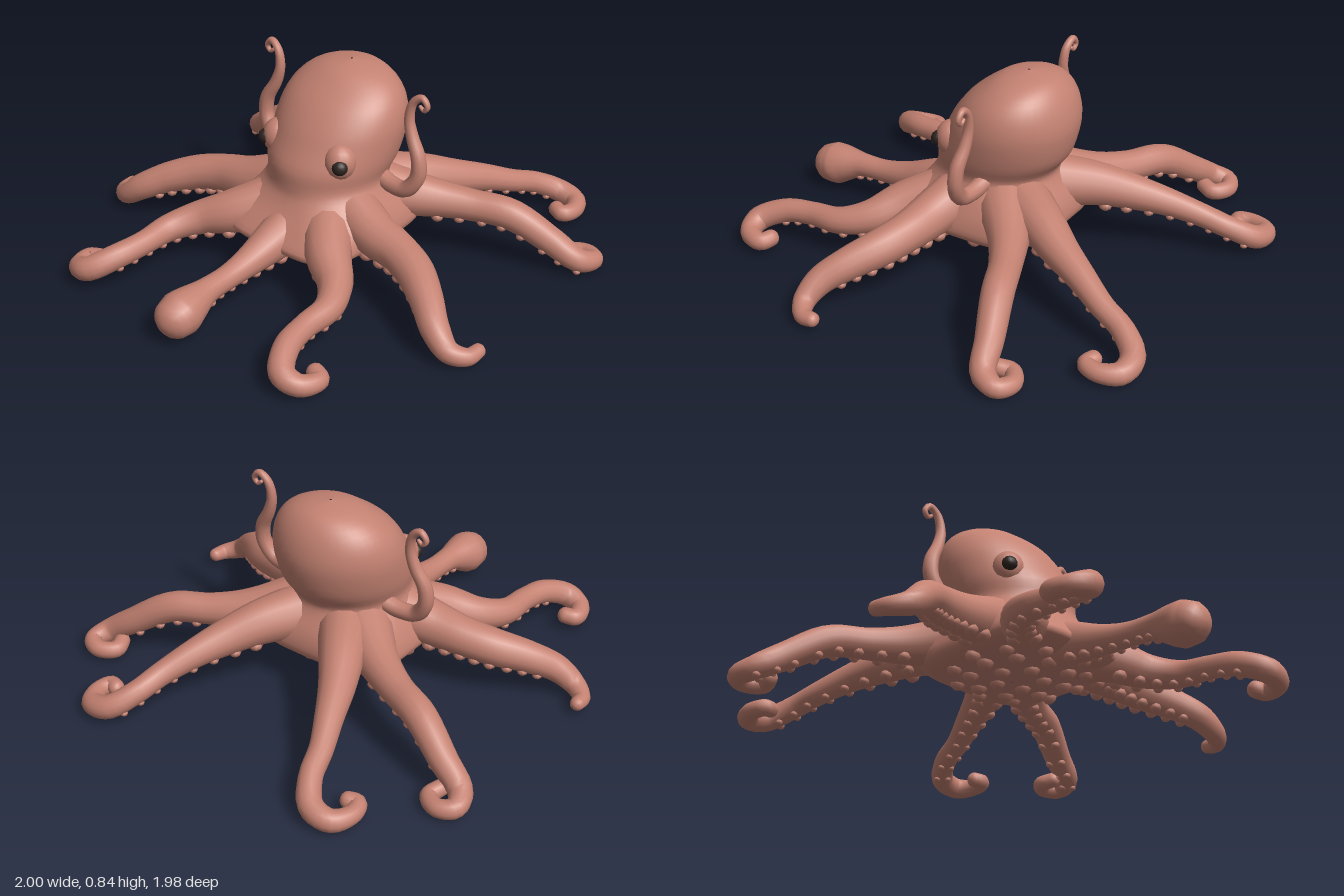
import * as THREE from 'three';
import { mergeGeometries } from 'three/addons/utils/BufferGeometryUtils.js';

const V = (x, y, z) => new THREE.Vector3(x, y, z);

// Skin a list of equal-length closed rings
function loft(rings) {
  const n = rings[0].length, index = [];
  for (let i = 0; i < rings.length - 1; i++) {
    for (let j = 0; j < n; j++) {
      const k = (j + 1) % n, a = i * n + j, b = i * n + k;
      index.push(a, a + n, b, b, a + n, b + n);
    }
  }
  const g = new THREE.BufferGeometry().setFromPoints(rings.flat());
  g.setIndex(index);
  g.computeVertexNormals();
  return g;
}

// Curve and tapering radius through points [x, y, z, radius]
function limbPath(pts, up) {
  const curve = new THREE.CatmullRomCurve3(pts.map(p => V(p[0], p[1], p[2])));
  const radii = new THREE.CatmullRomCurve3(pts.map(p => V(p[3], 0, 0)), false, 'catmullrom');
  return t => {
    const tangent = curve.getTangent(t);
    const side = tangent.clone().cross(up).normalize();
    return { p: curve.getPoint(t), r: radii.getPoint(t).x, tangent, side, top: side.clone().cross(tangent) };
  };
}

function limb(path, steps, sides) {
  const rings = [];
  const ring = (f, r, push) => {
    const loop = [];
    for (let j = 0; j < sides; j++) {
      const a = j / sides * Math.PI * 2;
      loop.push(f.p.clone().addScaledVector(f.tangent, push)
        .addScaledVector(f.side, Math.cos(a) * r).addScaledVector(f.top, Math.sin(a) * r));
    }
    rings.push(loop);
  };
  for (let i = 0; i <= steps; i++) { const f = path(i / steps); ring(f, f.r, 0); }
  // rounded tip
  const end = path(1);
  for (const a of [0.4, 0.8, 1.15, 1.4, 1.57]) ring(end, end.r * Math.cos(a), end.r * Math.sin(a) * 0.85);
  return loft(rings);
}

// Two rows of suckers along the underside of an arm
function suckers(path, from, to, count) {
  const list = [];
  for (let i = 0; i < count; i++) {
    const t = from + (to - from) * i / (count - 1), f = path(t);
    for (const s of [-1, 1]) {
      const size = f.r * 0.34;
      const c = f.p.clone().addScaledVector(f.top, -f.r * 0.82).addScaledVector(f.side, s * f.r * 0.45);
      list.push(new THREE.SphereGeometry(size, 8, 6).scale(1, 0.85, 1).translate(c.x, c.y, c.z));
    }
  }
  return mergeGeometries(list);
}

export function createModel() {
  const model = new THREE.Group();
  const skin = new THREE.MeshStandardMaterial({ name: 'terracotta skin', color: 0xc48272 });
  const dark = new THREE.MeshStandardMaterial({ name: 'dark eye', color: 0x2e2420 });
  const add = (name, geometry, material = skin) => {
    const mesh = new THREE.Mesh(geometry, material);
    mesh.name = name;
    model.add(mesh);
    return mesh;
  };

  // Mantle, head and web: half width, y, back z, front z
  const profile = [
    [0.004, 0.86, -0.135, -0.125], [0.11, 0.842, -0.23, -0.035], [0.195, 0.803, -0.28, 0.03],
    [0.252, 0.74, -0.315, 0.11], [0.277, 0.66, -0.333, 0.175], [0.277, 0.58, -0.325, 0.22],
    [0.267, 0.50, -0.30, 0.262], [0.25, 0.43, -0.25, 0.268], [0.268, 0.38, -0.26, 0.275],
    [0.3, 0.32, -0.295, 0.31], [0.325, 0.26, -0.315, 0.36], [0.33, 0.205, -0.31, 0.395],
    [0.28, 0.17, -0.25, 0.335], [0.13, 0.15, -0.11, 0.16], [0.004, 0.145, -0.004, 0.004],
  ];
  const widths = new THREE.CatmullRomCurve3(profile.map(p => V(p[0], p[1], p[2])), false, 'catmullrom');
  const fronts = new THREE.CatmullRomCurve3(profile.map(p => V(p[3], p[1], 0)), false, 'catmullrom');
  const bulge = (v, e) => Math.sign(v) * Math.abs(v) ** e;
  const rings = [];
  for (let i = 0; i <= 42; i++) {
    const w = widths.getPoint(i / 42), front = fronts.getPoint(i / 42).x, loop = [];
    // the web fills the corners between the arms
    const e = 0.5 + 0.5 * THREE.MathUtils.smoothstep(w.y, 0.26, 0.43);
    for (let j = 0; j < 40; j++) {
      const a = j / 40 * Math.PI * 2;
      loop.push(V(bulge(Math.cos(a), e) * w.x, w.y,
        (front + w.z) / 2 - bulge(Math.sin(a), e) * (front - w.z) / 2));
    }
    rings.push(loop);
  }
  add('body', loft(rings));

  // Arms on the +x side, each mirrored
  const arms = {
    frontSideArm: [[0.14, 0.28, 0.17, 0.11], [0.26, 0.23, 0.31, 0.095], [0.38, 0.19, 0.405, 0.072],
      [0.445, 0.165, 0.52, 0.058], [0.45, 0.155, 0.66, 0.05], [0.475, 0.14, 0.79, 0.052],
      [0.54, 0.1, 0.885, 0.052], [0.615, 0.075, 0.87, 0.044], [0.642, 0.07, 0.79, 0.038], [0.6, 0.075, 0.768, 0.036]],
    sideArm: [[0.18, 0.32, 0.08, 0.11], [0.34, 0.275, 0.12, 0.096], [0.48, 0.255, 0.14, 0.083],
      [0.6, 0.23, 0.18, 0.078], [0.72, 0.19, 0.255, 0.068], [0.82, 0.135, 0.325, 0.058],
      [0.9, 0.078, 0.342, 0.046], [0.96, 0.06, 0.3, 0.036], [0.97, 0.065, 0.245, 0.03]],
    backSideArm: [[0.16, 0.32, -0.12, 0.12], [0.33, 0.28, -0.25, 0.086], [0.48, 0.262, -0.335, 0.068],
      [0.64, 0.245, -0.405, 0.066], [0.8, 0.15, -0.475, 0.058], [0.91, 0.08, -0.52, 0.05],
      [0.935, 0.06, -0.595, 0.041], [0.875, 0.055, -0.627, 0.037], [0.812, 0.055, -0.585, 0.036], [0.828, 0.065, -0.53, 0.034]],
    backArm: [[0.1, 0.32, -0.16, 0.12], [0.205, 0.305, -0.33, 0.095], [0.282, 0.27, -0.46, 0.077],
      [0.35, 0.23, -0.6, 0.06], [0.41, 0.18, -0.73, 0.05], [0.45, 0.135, -0.85, 0.048],
      [0.52, 0.085, -0.935, 0.05], [0.61, 0.065, -0.935, 0.046], [0.652, 0.065, -0.86, 0.038],
      [0.635, 0.07, -0.8, 0.036], [0.595, 0.075, -0.81, 0.034]],
  };
  const flip = p => [-p[0], p[1], p[2], p[3]];
  for (const [name, pts] of Object.entries(arms)) {
    for (const [label, points] of [['left', pts], ['right', pts.map(flip)]]) {
      const path = limbPath(points, V(0, 1, 0));
      add(`${label} ${name}`, limb(path, 44, 14));
      add(`${label} ${name} suckers`, suckers(path, 0.14, 0.56, 8));
    }
  }

  // Middle front arm with a swollen tip
  const middle = limbPath([[0, 0.25, 0.2, 0.105], [0, 0.21, 0.36, 0.085], [0, 0.182, 0.49, 0.063],
    [0, 0.165, 0.62, 0.05], [0, 0.158, 0.74, 0.054], [0, 0.14, 0.83, 0.08], [0, 0.127, 0.88, 0.092],
    [0, 0.12, 0.915, 0.087]], V(0, 1, 0));
  add('front middle arm', limb(middle, 40, 16));
  add('front middle arm suckers', suckers(middle, 0.15, 0.58, 7));

  // Thin raised feelers
  const feeler = [[0.2, 0.43, -0.06, 0.04], [0.29, 0.41, -0.05, 0.036], [0.365, 0.42, -0.045, 0.035],
    [0.415, 0.49, -0.055, 0.033], [0.413, 0.57, -0.06, 0.031], [0.37, 0.655, -0.07, 0.026],
    [0.35, 0.73, -0.075, 0.021], [0.365, 0.8, -0.08, 0.018], [0.405, 0.83, -0.085, 0.015],
    [0.432, 0.8, -0.085, 0.012], [0.415, 0.778, -0.085, 0.01], [0.395, 0.79, -0.085, 0.008]];
  add('left feeler', limb(limbPath(feeler, V(0, 0, 1)), 48, 10));
  add('right feeler', limb(limbPath(feeler.map(flip), V(0, 0, 1)), 48, 10));

  // Eye mounds and eyes
  for (const s of [1, -1]) {
    const side = s > 0 ? 'left' : 'right';
    const mound = add(`${side} eye mound`, new THREE.SphereGeometry(0.068, 16, 12));
    mound.position.set(s * 0.168, 0.55, 0.134);
    mound.scale.set(1, 1.15, 1);
    const eye = add(`${side} eye`, new THREE.SphereGeometry(0.033, 14, 10), dark);
    eye.position.set(s * 0.202, 0.55, 0.175);
  }

  // Suckers below the body
  const under = [];
  for (const [count, radius, size] of [[5, 0.1, 0.034], [9, 0.2, 0.036], [11, 0.27, 0.032]]) {
    for (let i = 0; i < count; i++) {
      const a = (i + 0.5) / count * Math.PI * 2;
      under.push(new THREE.SphereGeometry(size, 8, 6)
        .translate(Math.cos(a) * radius, 0.145 + radius * 0.08, Math.sin(a) * radius + 0.04));
    }
  }
  add('body suckers', mergeGeometries(under));
  return model;
}
